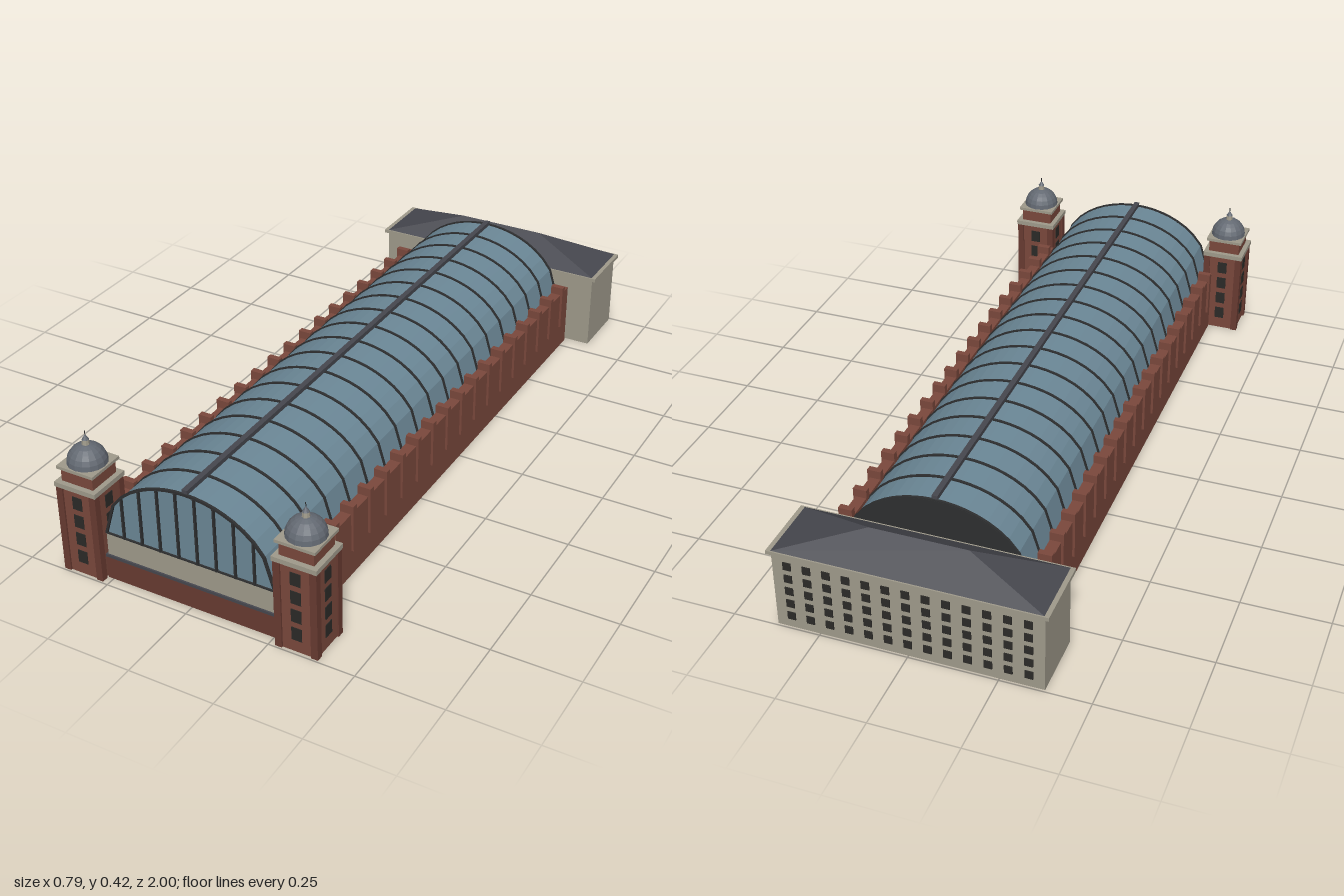
import * as THREE from 'three';

const paint = (color) => new THREE.MeshStandardMaterial({ color, flatShading: true, side: THREE.DoubleSide });
const M = {
  brick: paint(0x7a483c), darkBrick: paint(0x683a31), stone: paint(0x9f9a8b),
  slate: paint(0x46474e), dome: paint(0x636972), glass: paint(0x6b8796),
  iron: paint(0x2e2f30), window: paint(0x2b2a27),
};

function add(parent, name, geometry, mat, x = 0, y = 0, z = 0) {
  const mesh = new THREE.Mesh(geometry, mat);
  mesh.name = name;
  mesh.position.set(x, y, z);
  parent.add(mesh);
  return mesh;
}

// Box given by its centre in x and z, its bottom y, and its size
const box = (parent, name, mat, x, y, z, w, h, d) =>
  add(parent, name, new THREE.BoxGeometry(w, h, d), mat, x, y + h / 2, z);

const FRONT = 0.97, BACK = -0.79, SPRING = 0.15, HALF = 0.257, RISE = 0.205;
const archY = (x) => SPRING + RISE * Math.sqrt(Math.max(0, 1 - (x / HALF) ** 2));

// Roof profile from left to right, grown outwards by an offset
function archPoints(offset = 0) {
  const points = [];
  for (let i = 0; i <= 18; i++) {
    const t = i / 9 - 1;
    const x = t * HALF;
    points.push(new THREE.Vector2(t * (HALF + offset), SPRING + (archY(x) - SPRING) * (1 + offset / RISE)));
  }
  return points;
}

const extrude = (points, depth) =>
  new THREE.ExtrudeGeometry(new THREE.Shape(points), { depth, bevelEnabled: false });

function buildHall() {
  const hall = new THREE.Group();
  hall.name = 'hall';
  const mid = (FRONT + BACK) / 2, length = FRONT - BACK;

  // Brick base, front coping and stone floor below the glazing
  box(hall, 'base', M.darkBrick, 0, 0, mid, 0.534, 0.07, length);
  box(hall, 'coping', M.slate, 0, 0.07, mid, 0.534, 0.008, length + 0.006);
  box(hall, 'stoneBand', M.stone, 0, 0.078, mid, 0.522, 0.072, length - 0.004);

  // Side walls with a row of buttresses
  for (const s of [-1, 1]) {
    box(hall, 'sideWall', M.brick, s * 0.28, 0, (0.87 + BACK) / 2, 0.032, 0.197, 0.87 - BACK);
    for (let i = 0; i < 18; i++)
      box(hall, 'buttress', M.brick, s * 0.283, 0.08, -0.737 + i * 0.092, 0.04, 0.142, 0.018);
  }

  // Glazed vault with iron ribs and ridge
  add(hall, 'glassVault', extrude(archPoints(), length - 0.004), M.glass, 0, 0, BACK + 0.002);
  const band = [...archPoints(0.004), ...archPoints(-0.003).reverse()];
  const ribGeometry = extrude(band, 0.007);
  for (let i = 0; i <= 18; i++)
    add(hall, 'rib', ribGeometry, M.iron, 0, 0, BACK + (length / 18) * i - 0.0035);
  box(hall, 'ridge', M.slate, 0, 0.356, mid, 0.016, 0.013, length);

  // Front mullions and dark rear gable
  for (let i = 0; i < 8; i++) {
    const x = (i - 3.5) * (HALF * 2 / 9);
    box(hall, 'mullion', M.iron, x, SPRING, FRONT, 0.005, archY(x) - SPRING, 0.012);
  }
  box(hall, 'sill', M.iron, 0, SPRING - 0.002, FRONT, HALF * 2, 0.004, 0.006);
  add(hall, 'rearGable', extrude(archPoints(), 0.004), M.iron, 0, 0, BACK - 0.004);
  return hall;
}

function buildTower(side) {
  const tower = new THREE.Group();
  tower.name = side > 0 ? 'leftTower' : 'rightTower';
  tower.position.set(side * 0.33, 0, 0.932);

  // Shaft with corner piers
  box(tower, 'shaft', M.brick, 0, 0, 0, 0.115, 0.268, 0.115);
  for (const x of [-1, 1]) for (const z of [-1, 1])
    box(tower, 'cornerPier', M.darkBrick, x * 0.0525, 0, z * 0.0525, 0.02, 0.268, 0.02);

  // Four windows on each face
  for (let face = 0; face < 4; face++) {
    const wall = new THREE.Group();
    wall.name = 'windowColumn';
    wall.rotation.y = face * Math.PI / 2;
    for (let i = 0; i < 4; i++)
      box(wall, 'towerWindow', M.window, 0, 0.037 + i * 0.057, 0.0575, 0.03, 0.039, 0.004);
    tower.add(wall);
  }

  // Cornices, upper stage, dome and lantern
  box(tower, 'cornice', M.stone, 0, 0.267, 0, 0.13, 0.014, 0.13);
  box(tower, 'upperStage', M.brick, 0, 0.281, 0, 0.1, 0.04, 0.1);
  box(tower, 'upperCornice', M.stone, 0, 0.32, 0, 0.116, 0.009, 0.116);
  const domeProfile = [];
  for (let i = 0; i <= 6; i++) {
    const a = i * Math.PI / 12;
    domeProfile.push(new THREE.Vector2(0.055 * Math.cos(a), 0.329 + 0.054 * Math.sin(a)));
  }
  add(tower, 'dome', new THREE.LatheGeometry(domeProfile, 16), M.dome);
  add(tower, 'lantern', new THREE.CylinderGeometry(0.009, 0.011, 0.015, 8), M.stone, 0, 0.388, 0);
  add(tower, 'lanternRoof', new THREE.ConeGeometry(0.01, 0.016, 8), M.dome, 0, 0.4035, 0);
  add(tower, 'finial', new THREE.CylinderGeometry(0.0012, 0.0012, 0.016, 6), M.iron, 0, 0.414, 0);
  return tower;
}

function buildRearBlock() {
  const block = new THREE.Group();
  block.name = 'rearBlock';
  block.position.z = -0.898;
  box(block, 'walls', M.stone, 0, 0, 0, 0.746, 0.236, 0.19);
  box(block, 'eaves', M.stone, 0, 0.234, 0, 0.77, 0.011, 0.204);

  // Hipped roof: a box whose top edge is drawn into a ridge
  const roof = new THREE.BoxGeometry(0.744, 0.066, 0.196);
  const p = roof.attributes.position;
  for (let i = 0; i < p.count; i++)
    if (p.getY(i) > 0) p.setXYZ(i, Math.sign(p.getX(i)) * 0.138, p.getY(i), 0);
  roof.computeVertexNormals();
  add(block, 'hippedRoof', roof, M.slate, 0, 0.278, 0);

  // Grid of rear windows
  for (let c = 0; c < 13; c++) for (let r = 0; r < 5; r++)
    box(block, 'rearWindow', M.window, (c - 6) * 0.055, 0.027 + r * 0.041, -0.095, 0.023, 0.024, 0.006);
  return block;
}

export function createModel() {
  const model = new THREE.Group();
  model.name = 'exhibitionHall';
  model.add(buildHall(), buildTower(1), buildTower(-1), buildRearBlock());
  return model;
}
